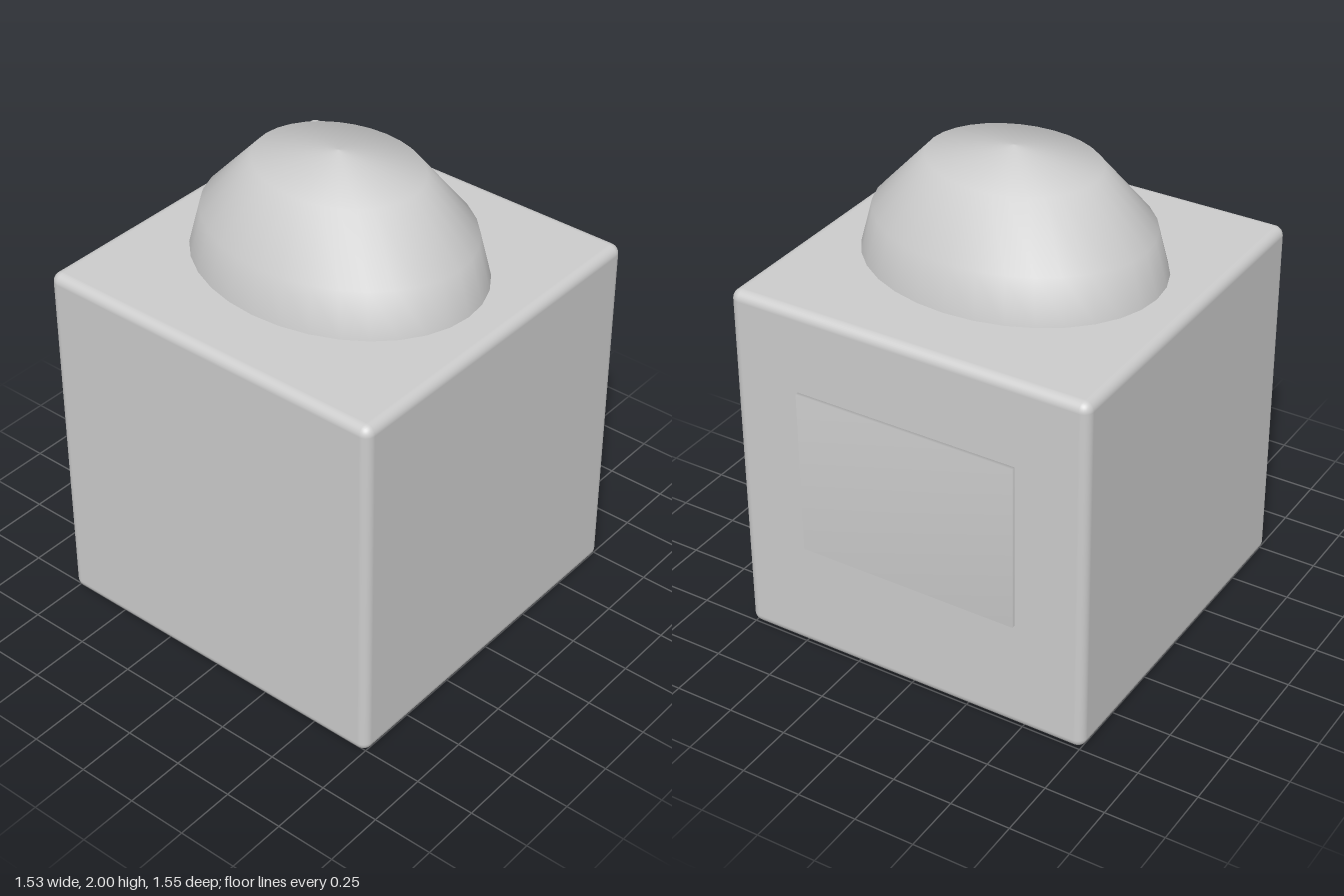
import * as THREE from 'three';
import { mergeVertices } from 'three/addons/utils/BufferGeometryUtils.js';
import { RoundedBoxGeometry } from 'three/addons/geometries/RoundedBoxGeometry.js';

export function createModel() {
  const group = new THREE.Group();
  const grey = new THREE.MeshStandardMaterial({ color: 0xcccccc });
  grey.name = 'lightGrey';

  const add = (name, geometry, x, y, z) => {
    const mesh = new THREE.Mesh(geometry, grey);
    mesh.name = name;
    mesh.position.set(x, y, z);
    group.add(mesh);
    return mesh;
  };

  // Cube body with softly rounded edges
  add('body', new RoundedBoxGeometry(1.53, 1.53, 1.53, 4, 0.04), 0, 0.765, 0.007);

  // Faceted oval dome, narrower from front to back
  const profile = [[0.613, 0], [0.565, 0.18], [0.35, 0.41], [0, 0.47]]
    .map(([r, y]) => new THREE.Vector2(r, y));
  const dome = add('dome', new THREE.LatheGeometry(profile, 32), 0, 1.53, 0.006);
  dome.scale.z = 0.8;

  // Back panel, with corner normals shared so it shades softly
  let panel = new THREE.BoxGeometry(0.94, 0.705, 0.036);
  panel.deleteAttribute('normal');
  panel.deleteAttribute('uv');
  panel = mergeVertices(panel);
  panel.computeVertexNormals();
  add('backPanel', panel, 0, 0.828, -0.755);

  return group;
}
